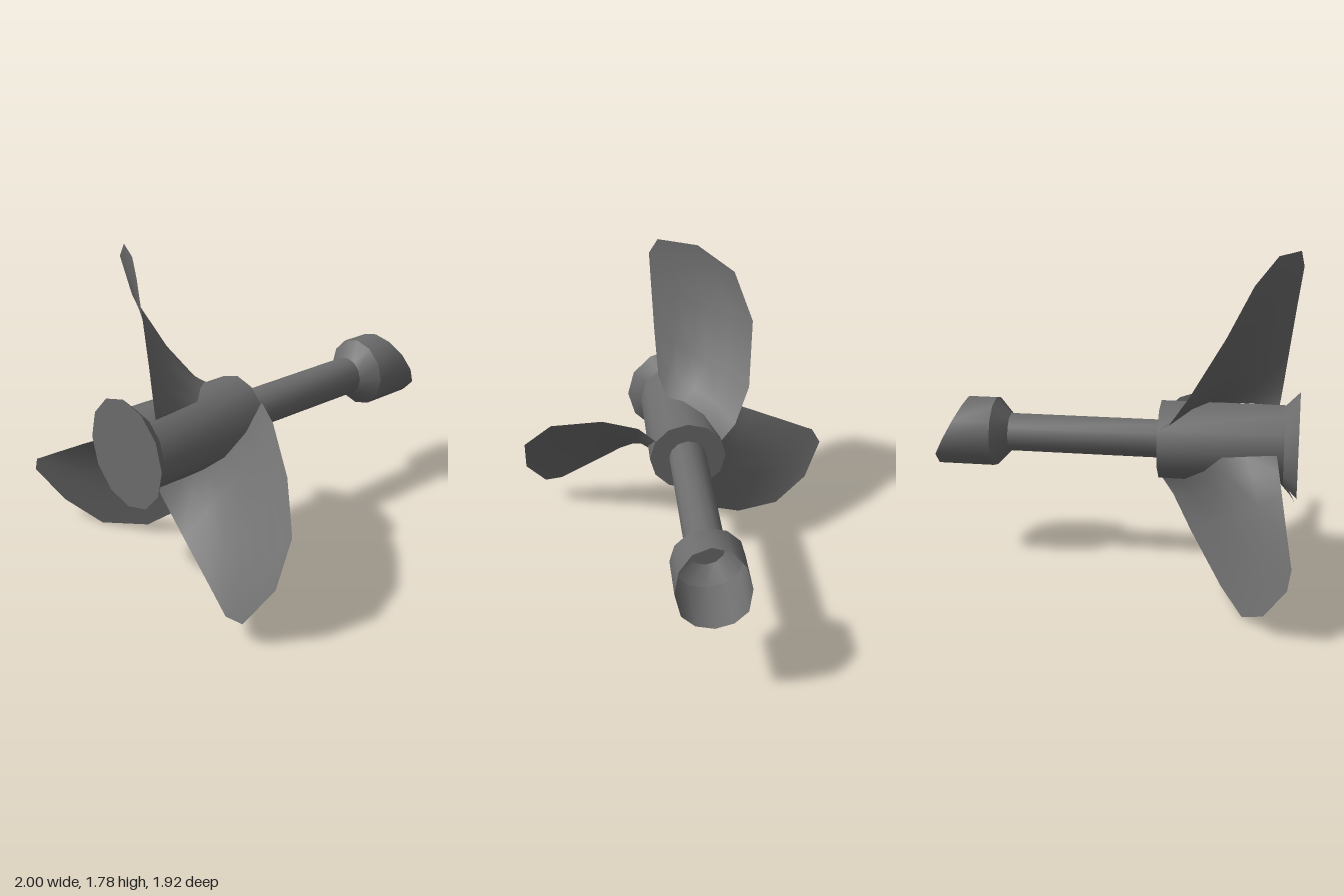
import * as THREE from 'three';
import { toCreasedNormals } from 'three/addons/utils/BufferGeometryUtils.js';

const SIDES = 12;
const GREY = 0x6c6c6c;

// Turned part: profile of [radius, x] pairs revolved around the x axis
function turned(name, profile, material, reshape) {
  const points = profile.map(([r, x]) => new THREE.Vector2(r, x));
  const geometry = new THREE.LatheGeometry(points, SIDES);
  geometry.rotateZ(-Math.PI / 2);
  if (reshape) reshape(geometry.attributes.position);
  const mesh = new THREE.Mesh(toCreasedNormals(geometry, 0.6), material);
  mesh.name = name;
  return mesh;
}

// Thin twisted blade: chords from leading to trailing edge, bowed near the root
function bladeGeometry() {
  // leading point, trailing point, amount of bow (relative to the shaft axis)
  const chords = [
    [[-0.888, 0.187, 0.112], [-0.248, 0.1, -0.195], 1],
    [[-0.905, 0.31, 0.12], [-0.32, 0.158, -0.283], 0.65],
    [[-0.928, 0.49, 0.13], [-0.433, 0.337, -0.377], 0.25],
    [[-0.962, 0.75, 0.14], [-0.62, 0.665, -0.418], 0.03],
    [[-0.99, 0.952, 0.147], [-0.749, 0.918, -0.325], 0],
    [[-0.973, 1.042, 0.096], [-0.861, 1.042, -0.125], 0],
  ];
  // position along the chord and the bow there
  const stations = [
    [0, 0, 0], [0.25, 0.03, 0.065], [0.45, 0.05, 0.112],
    [0.6, 0.08, 0.077], [0.8, 0.065, 0.02], [1, 0, 0],
  ];
  const positions = [], index = [], n = stations.length;
  chords.forEach(([lead, trail, bow], i) => {
    stations.forEach(([t, by, bz], j) => {
      const p = new THREE.Vector3(...lead).lerp(new THREE.Vector3(...trail), t);
      positions.push(p.x, p.y + by * bow, p.z + bz * bow);
      if (i && j) {
        const a = (i - 1) * n + j - 1, b = a + 1, c = a + n, d = c + 1;
        index.push(a, b, c, b, d, c);
      }
    });
  });
  const geometry = new THREE.BufferGeometry();
  geometry.setAttribute('position', new THREE.Float32BufferAttribute(positions, 3));
  geometry.setIndex(index);
  geometry.computeVertexNormals();
  return geometry;
}

export function createModel() {
  const group = new THREE.Group();
  const solid = new THREE.MeshStandardMaterial({ color: GREY });
  const thin = new THREE.MeshStandardMaterial({ color: GREY, side: THREE.DoubleSide });

  const rotor = new THREE.Group();
  rotor.name = 'propeller';
  rotor.position.set(0, 0.742, -0.01);
  group.add(rotor);

  // Hub with flared rear rim
  rotor.add(turned('hub', [[0, -1], [0.297, -1], [0.22, -0.925], [0.22, -0.248], [0, -0.248]], solid));

  // Shaft
  rotor.add(turned('shaft', [[0.108, -0.26], [0.108, 0.602], [0, 0.602]], solid));

  // Open socket with an oblique cut at its mouth
  rotor.add(turned('socket', [[0.108, 0.602], [0.197, 0.685], [0.197, 1]], thin, (pos) => {
    for (let i = 0; i < pos.count; i++) {
      if (pos.getX(i) < 0.9) continue;
      pos.setX(i, Math.min(1, 0.845 + 0.155 * (0.197 - pos.getY(i)) / 0.295));
    }
  }));

  // Three blades
  const blade = bladeGeometry();
  for (let i = 0; i < 3; i++) {
    const mesh = new THREE.Mesh(blade, thin);
    mesh.name = 'blade' + (i + 1);
    mesh.rotation.x = i * Math.PI * 2 / 3;
    rotor.add(mesh);
  }
  return group;
}
